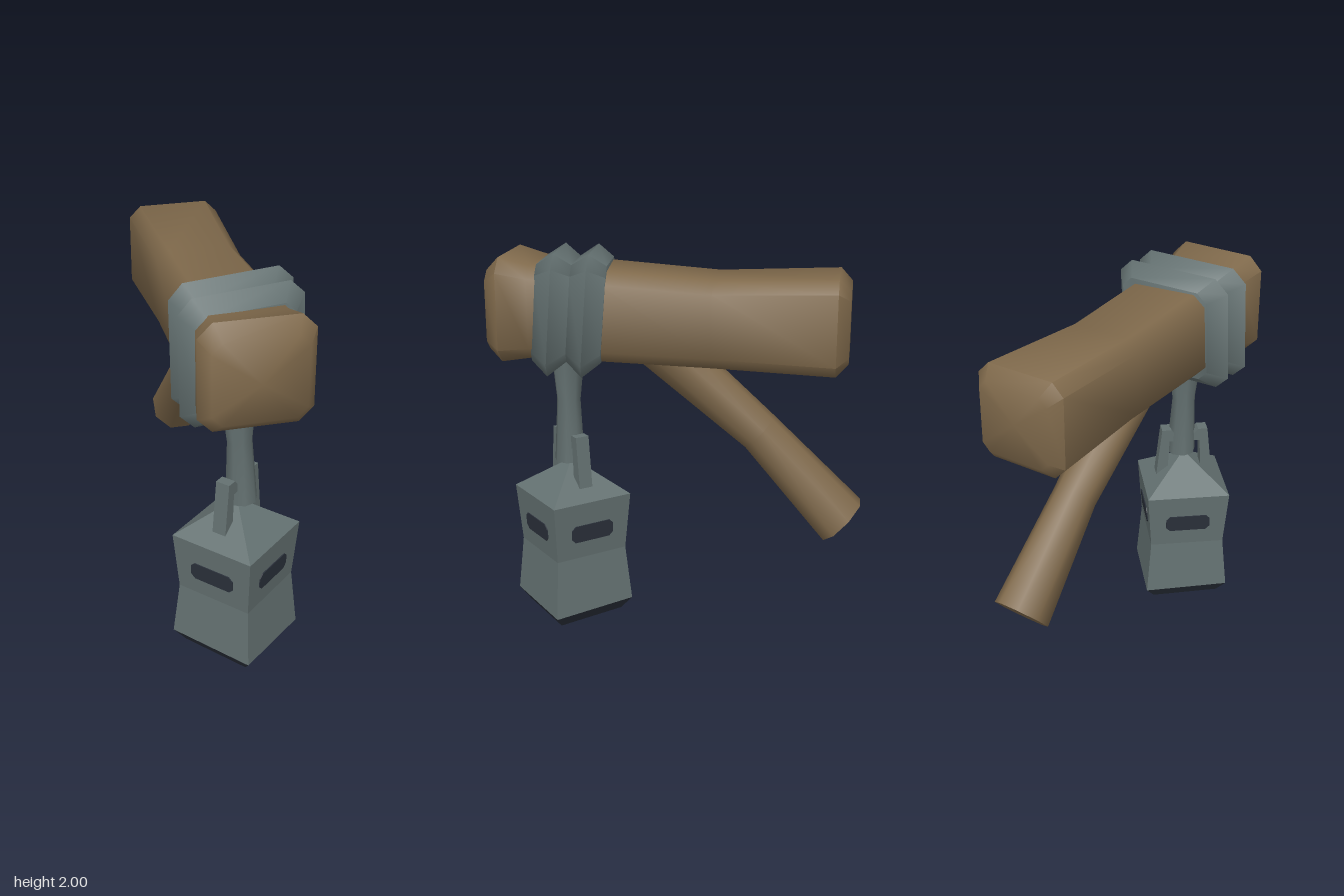
import * as THREE from 'three';
import { toCreasedNormals } from 'three/addons/utils/BufferGeometryUtils.js';

const material = (name, color) => Object.assign(new THREE.MeshStandardMaterial({ color }), { name });

// Skin a solid over matching closed rings of points, capped at both ends
function loft(rings, capBulge = 0, crease = 0.9) {
  const n = rings[0].length, pos = [], idx = [];
  rings.forEach(r => r.forEach(p => pos.push(p.x, p.y, p.z)));
  for (let i = 0; i < rings.length - 1; i++) {
    for (let j = 0; j < n; j++) {
      const k = (j + 1) % n, a = i * n + j, b = i * n + k;
      idx.push(a, b, b + n, a, b + n, a + n);
    }
  }
  [0, rings.length - 1].forEach((r, end) => {
    const c = rings[r].reduce((s, p) => s.add(p), new THREE.Vector3()).divideScalar(n);
    const centre = pos.length / 3;
    pos.push(c.x, c.y, c.z + end * capBulge);
    for (let j = 0; j < n; j++) {
      const a = r * n + j, b = r * n + (j + 1) % n;
      end ? idx.push(centre, a, b) : idx.push(centre, b, a);
    }
  });
  const g = new THREE.BufferGeometry();
  g.setAttribute('position', new THREE.Float32BufferAttribute(pos, 3));
  g.setIndex(idx);
  return toCreasedNormals(g, crease);
}

// Rectangle with cut corners, counter-clockwise seen from +z
function cutRect(z, hx, y0, y1, c) {
  const cy = (y0 + y1) / 2, hy = (y1 - y0) / 2;
  return [[hx, -hy + c], [hx, hy - c], [hx - c, hy], [-hx + c, hy],
    [-hx, hy - c], [-hx, -hy + c], [-hx + c, -hy], [hx - c, -hy]]
    .map(([x, y]) => new THREE.Vector3(x, cy + y, z));
}

function lathe(points, sides, crease) {
  const g = new THREE.LatheGeometry(points.map(p => new THREE.Vector2(...p)), sides);
  g.deleteAttribute('normal');
  return toCreasedNormals(g, crease);
}

// Move every vertex by a rule
function warp(g, rule) {
  const p = g.attributes.position, v = new THREE.Vector3();
  for (let i = 0; i < p.count; i++) {
    rule(v.fromBufferAttribute(p, i));
    p.setXYZ(i, v.x, v.y, v.z);
  }
  return g;
}

export function createModel() {
  const model = new THREE.Group();
  const wood = material('wood', 0x7f694b);
  const steel = material('steel', 0x647171);
  const dark = material('dark slate', 0x2b313b);
  const add = (parent, name, geometry, mat) => {
    const mesh = new THREE.Mesh(geometry, mat);
    mesh.name = name;
    parent.add(mesh);
    return mesh;
  };

  // Horizontal beam, waisted towards the middle
  add(model, 'beam', loft([
    cutRect(-0.87, 0.19, 1.48, 1.84, 0.04),
    cutRect(-0.81, 0.24, 1.42, 1.90, 0.06),
    cutRect(-0.2, 0.215, 1.435, 1.875, 0.06),
    cutRect(0.35, 0.225, 1.45, 1.91, 0.06),
    cutRect(0.72, 0.24, 1.46, 1.93, 0.06),
    cutRect(0.87, 0.27, 1.44, 1.97, 0.07),
    cutRect(0.94, 0.22, 1.50, 1.90, 0.05),
  ], 0.03), wood);

  // Two slanted ridged bands round the beam
  [0.63, 0.453].forEach((z, i) => {
    const g = loft([
      cutRect(-0.09, 0.235, 1.44, 1.93, 0.05),
      cutRect(0, 0.305, 1.37, 1.99, 0.07),
      cutRect(0.09, 0.235, 1.44, 1.93, 0.05),
    ]);
    warp(g, v => {
      v.z += z - 0.11 * v.x - 0.08 * (v.y - 1.68);
      v.y += 0.04 * v.x;
    });
    add(model, i ? 'rearBand' : 'frontBand', g, steel);
  });

  // Eight-sided slanting brace
  const along = new THREE.Vector3(0, -0.67, -0.74).normalize();
  const u = new THREE.Vector3(1, 0, 0), v = along.clone().cross(u);
  const braceRing = (x, y, z, r) => Array.from({ length: 8 }, (_, i) => {
    const a = (i + 0.5) * Math.PI / 4;
    return new THREE.Vector3(x, y, z)
      .addScaledVector(u, r * Math.cos(a)).addScaledVector(v, r * Math.sin(a));
  });
  add(model, 'brace', loft([
    braceRing(0, 1.55, 0.135, 0.138),
    braceRing(0.005, 1.07, -0.43, 0.112),
    braceRing(0.015, 0.61, -0.87, 0.146),
  ]), wood);

  // Hanging rod, slightly leaning
  const rod = lathe([[0, 0.87], [0.08, 0.87], [0.063, 1.2], [0.09, 1.46]], 8, 0.9);
  warp(rod, p => {
    p.x += 0.02 * (1.45 - p.y) / 0.58;
    p.z += 0.578;
  });
  add(model, 'hangingRod', rod, steel);

  // Four-sided lantern standing corner-on
  const lantern = new THREE.Group();
  lantern.name = 'lantern';
  lantern.position.z = 0.575;
  lantern.rotation.y = -0.06;
  model.add(lantern);
  const lean = p => { if (p.y < 0.1) p.y -= 0.045 * p.x; };
  add(lantern, 'lanternBody',
    warp(lathe([[0.325, 0.08], [0.29, 0.38], [0.322, 0.69], [0, 0.87]], 4, 0.1), lean), steel);
  add(lantern, 'lanternBase',
    warp(lathe([[0, 0.012], [0.26, 0.012], [0.325, 0.08]], 4, 0.1), lean), dark);

  // Dark window plates on the four sides
  const plate = new THREE.Shape(
    cutRect(0, 0.123, -0.047, 0.047, 0.022).map(p => new THREE.Vector2(p.x, p.y)));
  const plateGeometry = new THREE.ExtrudeGeometry(plate, { depth: 0.008, bevelEnabled: false });
  for (let i = 0; i < 4; i++) {
    const side = new THREE.Group();
    side.name = 'windowSide';
    side.rotation.y = (i + 0.5) * Math.PI / 2;
    lantern.add(side);
    const pane = add(side, 'window', plateGeometry, dark);
    pane.position.set(0, 0.52, 0.2125);
    pane.rotation.x = 0.073;
  }

  // Bracket: two tapered posts joined through the rod
  const half = [[0.16, 0.72], [0.127, 1.02], [0.075, 1.02], [0.05, 0.99],
    [0.05, 0.95], [0.085, 0.95], [0.095, 0.72]];
  const post = new THREE.Shape(half.map(p => new THREE.Vector2(...p)));
  const postGeometry = new THREE.ExtrudeGeometry(post, { depth: 0.075, bevelEnabled: false });
  postGeometry.translate(0, 0, -0.0375);
  for (const turn of [0, Math.PI]) {
    add(lantern, 'bracketPost', postGeometry, steel).rotation.y = Math.PI / 4 + turn;
  }
  return model;
}
